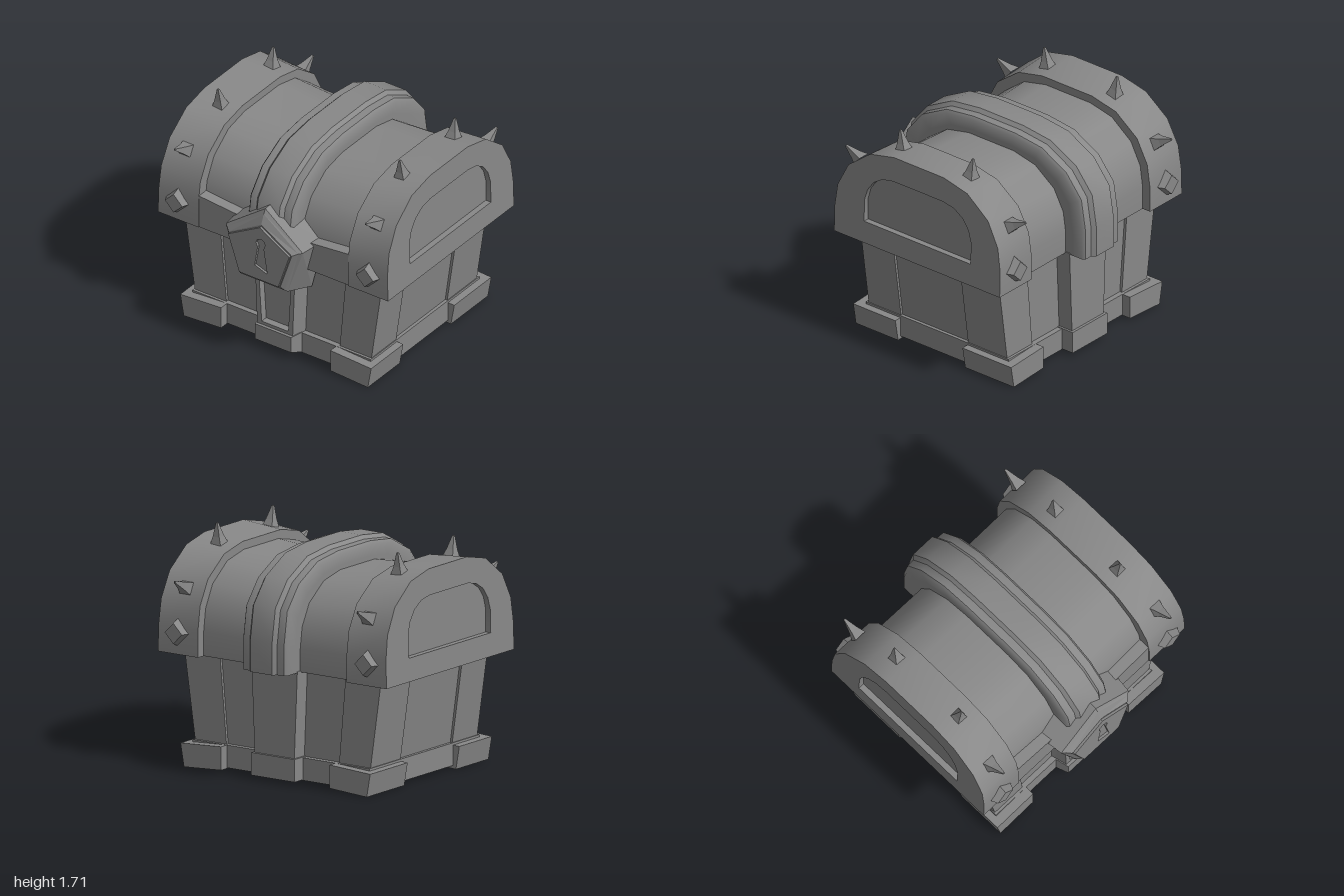
import * as THREE from 'three';
import { toCreasedNormals } from 'three/addons/utils/BufferGeometryUtils.js';

const smooth = new THREE.MeshStandardMaterial({ color: 0x888888 });
const flat = new THREE.MeshStandardMaterial({ color: 0x888888, flatShading: true });
const V = (x, y, z) => new THREE.Vector3(x, y, z);
const SIDES = [1, -1];
const LID_Y = 0.82;

function add(parent, name, geo, mat = flat) {
  const m = new THREE.Mesh(geo, mat);
  m.name = name;
  parent.add(m);
  return m;
}

// Move every vertex by a rule
function warp(geo, rule) {
  const p = geo.attributes.position, v = V(0, 0, 0);
  for (let i = 0; i < p.count; i++) {
    rule(v.fromBufferAttribute(p, i));
    p.setXYZ(i, v.x, v.y, v.z);
  }
  geo.computeVertexNormals();
  return geo;
}

// Box whose x range differs between bottom and top
function taperBox(bottom, top, y0, y1, z0, z1) {
  const b = [...bottom].sort((p, q) => p - q), t = [...top].sort((p, q) => p - q);
  return warp(new THREE.BoxGeometry(1, 1, 1), v => {
    const i = v.x < 0 ? 0 : 1, up = v.y > 0;
    v.set(up ? t[i] : b[i], up ? y1 : y0, v.z > 0 ? Math.max(z0, z1) : Math.min(z0, z1));
  });
}

// Skin over closed rings (clockwise seen from the end they advance to), with caps
function loft(rings) {
  const out = [], tri = (...p) => p.forEach(v => out.push(v.x, v.y, v.z));
  const n = rings[0].length;
  const centre = r => r.reduce((s, p) => s.add(p), V(0, 0, 0)).divideScalar(n);
  const first = rings[0], last = rings[rings.length - 1];
  const c0 = centre(first), c1 = centre(last);
  for (let i = 0; i < n; i++) {
    const j = (i + 1) % n;
    for (let k = 0; k < rings.length - 1; k++) {
      const r = rings[k], q = rings[k + 1];
      tri(r[i], q[i], r[j]);
      tri(r[j], q[i], q[j]);
    }
    tri(c0, first[i], first[j]);
    tri(c1, last[j], last[i]);
  }
  const g = new THREE.BufferGeometry();
  g.setAttribute('position', new THREE.Float32BufferAttribute(out, 3));
  g.computeVertexNormals();
  return g;
}

// Outlines and holes are all made counter-clockwise so hole walls face inwards
function outline(pts) {
  const p = pts.map(([x, y]) => new THREE.Vector2(x, y));
  return THREE.ShapeUtils.isClockWise(p) ? p.reverse() : p;
}
function extrude(pts, depth, hole) {
  const s = new THREE.Shape(outline(pts));
  if (hole) s.holes.push(new THREE.Path(outline(hole)));
  return new THREE.ExtrudeGeometry(s, { depth, bevelEnabled: false });
}
// Footprint [x, z] raised from y
const raise = (pts, y, height, hole) =>
  extrude(pts.map(([x, z]) => [x, -z]), height, hole && hole.map(([x, z]) => [x, -z]))
    .rotateX(-Math.PI / 2).translate(0, y, 0);

// Half arch [distance from middle, y] -> full arch [z, y], front to back
const arch = (half, cz) => [
  ...half.map(([d, y]) => [cz + d, y]),
  ...half.map(([d, y]) => [cz - d, y]).reverse(),
];
const lidHalf = [[0.765, 0.82], [0.765, 1.02], [0.74, 1.2], [0.645, 1.385], [0.45, 1.535], [0.23, 1.585]];
const bandHalf = [[0.875, 0.82], [0.875, 1.05], [0.835, 1.3], [0.69, 1.48], [0.455, 1.605], [0.2, 1.637]];
const ringAt = (profile, x, cz, kz, ky) =>
  profile.map(([z, y]) => V(x, LID_Y + (y - LID_Y) * ky, cz + (z - cz) * kz));

function buildBody(root) {
  const body = new THREE.Group();
  body.name = 'body';
  root.add(body);
  add(body, 'walls', taperBox([-0.73, 0.73], [-0.84, 0.84], 0.045, 0.83, 0.6, -0.64));

  // Plinth frame, open underneath
  const rect = (x, zf, zb) => [[-x, zf], [x, zf], [x, zb], [-x, zb]];
  add(body, 'plinth', raise(rect(0.775, 0.64, -0.68), 0.025, 0.165, rect(0.72, 0.585, -0.625)));

  // Corner posts and the angled feet wrapped round them
  for (const s of SIDES) {
    for (const [zi, zin, zp, zf] of [[0.32, 0.585, 0.62, 0.71], [-0.3, -0.625, -0.66, -0.75]]) {
      add(body, 'cornerPost', taperBox([s * 0.485, s * 0.755], [s * 0.55, s * 0.86], 0.1, 0.83, zi, zp));
      const foot = raise([[0.475, zf], [0.8, zf], [0.8, zi], [0.72, zi], [0.72, zin], [0.475, zin]]
        .map(([x, z]) => [s * x, z]), 0.02, 0.17);
      add(body, 'cornerFoot', warp(foot, v => {
        const x = Math.abs(v.x);
        if (x > 0.79 && v.y > 0.1) v.x += s * 0.03;
        v.y -= 0.06 * (x - 0.475);
      }));
    }
  }

  // Front strap: bevelled frame around a sunken panel, on a small foot
  const frame = extrude([[-0.175, 0.05], [0.175, 0.05], [0.21, 0.82], [-0.21, 0.82]], 0.12,
    [[-0.115, 0.22], [0.115, 0.22], [0.15, 0.78], [-0.15, 0.78]]);
  add(body, 'frontStrap', warp(frame.translate(0, 0, 0.6), v => {
    if (v.z > 0.7 && Math.abs(v.x) > 0.16) v.x *= 0.85;
  }));
  add(body, 'frontStrapPanel', taperBox([-0.14, 0.14], [-0.17, 0.17], 0.1, 0.8, 0.58, 0.665));
  const strapFoot = taperBox([-0.18, 0.18], [-0.18, 0.18], 0.03, 0.195, 0.64, 0.743);
  add(body, 'frontStrapFoot', warp(strapFoot, v => {
    if (v.z > 0.7) { v.x *= 0.87; if (v.y < 0.1) v.y = 0.068; }
  }));

  // Back strap
  add(body, 'backStrap', taperBox([-0.17, 0.17], [-0.2, 0.2], 0.1, 0.83, -0.6, -0.76));
  add(body, 'backStrapFoot', taperBox([-0.19, 0.19], [-0.19, 0.19], 0.03, 0.195, -0.64, -0.78));
}

function buildLid(root) {
  const lid = new THREE.Group();
  lid.name = 'lid';
  root.add(lid);

  // Sagging barrel; its ends form the floors of the side recesses
  const lidProfile = arch(lidHalf, -0.03);
  const barrel = [[-0.95, 0.92], [-0.65, 0.893], [-0.2, 0.853], [0.2, 0.853], [0.65, 0.893], [0.95, 0.92]];
  add(lid, 'lidBarrel',
    toCreasedNormals(loft(barrel.map(([x, k]) => ringAt(lidProfile, x, -0.03, 0.9, k))), 0.7), smooth);

  // Front rim
  add(lid, 'frontRim', extrude([[-0.66, 0.82], [0.66, 0.82], [0.66, 1.082],
    [0.25, 1.045], [-0.25, 1.045], [-0.66, 1.082]], 0.135).translate(0, 0, 0.6));

  // End bands with an arched recess
  const endProfile = arch(lidHalf, -0.022);
  const recess = arch([[0.492, 0.99], [0.492, 1.16], [0.465, 1.25], [0.41, 1.325], [0.33, 1.375], [0.23, 1.395]], -0.022);
  for (const s of SIDES) {
    const turn = pts => pts.map(([z, y]) => [-s * z, y]);
    const g = extrude(turn(endProfile), 0.35, turn(recess));
    g.rotateY(s * Math.PI / 2).translate(s * 0.65, 0, 0);
    warp(g, v => {
      const t = (Math.abs(v.x) - 0.65) / 0.35;
      v.x -= s * t * 0.026 * (v.y - LID_Y);
      v.y = LID_Y + (v.y - LID_Y) * (0.972 + 0.035 * t);
    });
    add(lid, 'endBand', toCreasedNormals(g, 0.7), smooth);
  }

  // Ridged middle band
  const half = [[0.195, 0.84], [0.195, 0.94], [0.178, 0.965], [0.12, 0.968], [0.095, 1]];
  const steps = [...half.map(([x, k]) => [-x, k]), ...[...half].reverse()];
  const bandProfile = arch(bandHalf, -0.045);
  add(lid, 'middleBand',
    toCreasedNormals(loft(steps.map(([x, k]) => ringAt(bandProfile, x, -0.045, k, k))), 0.7), smooth);

  // Diamond studs and spikes
  const stud = new THREE.CylinderGeometry(0.075, 0.107, 0.075, 4);
  const spike = new THREE.LatheGeometry([[0.066, -0.025], [0.04, 0.035], [0.026, 0.08], [0.01, 0.133], [0.001, 0.137]]
    .map(p => new THREE.Vector2(...p)), 4, Math.PI / 4);
  const spikes = [ // x, y, z, then direction in y and z
    [0.83, 1.365, 0.655, 0.5, 1], [0.79, 1.57, 0.28, 1, 0.2],
    [0.79, 1.57, -0.345, 1, -0.15], [0.8, 1.305, -0.74, 0.5, -1],
  ];
  for (const s of SIDES) {
    for (const [z, turn] of [[0.755, 1], [-0.8, -1]]) {
      const d = add(lid, 'diamondStud', stud);
      d.position.set(s * 0.83, 0.98, z);
      d.rotation.x = turn * Math.PI / 2;
    }
    for (const [x, y, z, dy, dz] of spikes) {
      const m = add(lid, 'spike', spike);
      m.position.set(s * x, y, z);
      m.quaternion.setFromUnitVectors(V(0, 1, 0), V(0, dy, dz).normalize());
    }
  }
}

function buildLock(root) {
  const lock = new THREE.Group();
  lock.name = 'lock';
  root.add(lock);
  // Pentagon rings given by the tip height, the side corners and the lower corners
  const ring = (z, tip, [sx, sy], [bx, by]) =>
    [V(0.01, tip, z), V(sx, sy, z), V(bx, by, z), V(-bx, by, z), V(-sx, sy, z)];
  add(lock, 'lockHousing', loft([
    ring(0.62, 1.3, [0.36, 1.03], [0.25, 0.6]),
    ring(0.85, 1.285, [0.335, 1.03], [0.205, 0.66]),
    ring(0.87, 1.25, [0.31, 1.025], [0.195, 0.675]),
    ring(0.9, 1.175, [0.275, 1.01], [0.175, 0.712]),
  ]));

  // Face plate with a keyhole
  const keyhole = [[-0.008, 0.995], [-0.035, 0.83], [0.075, 0.79], [0.042, 0.99]];
  for (let i = 0; i <= 6; i++) {
    const a = -0.8 + i * (Math.PI + 1.6) / 6;
    keyhole.push([0.017 + Math.cos(a) * 0.04, 1.025 + Math.sin(a) * 0.04]);
  }
  const face = ring(0, 1.16, [0.265, 1.005], [0.17, 0.72]).map(p => [p.x, p.y]);
  add(lock, 'lockPlate', extrude(face, 0.025, keyhole).translate(0, 0, 0.893));
}

export function createModel() {
  const root = new THREE.Group();
  root.name = 'treasureChest';
  buildBody(root);
  buildLid(root);
  buildLock(root);
  return root;
}
